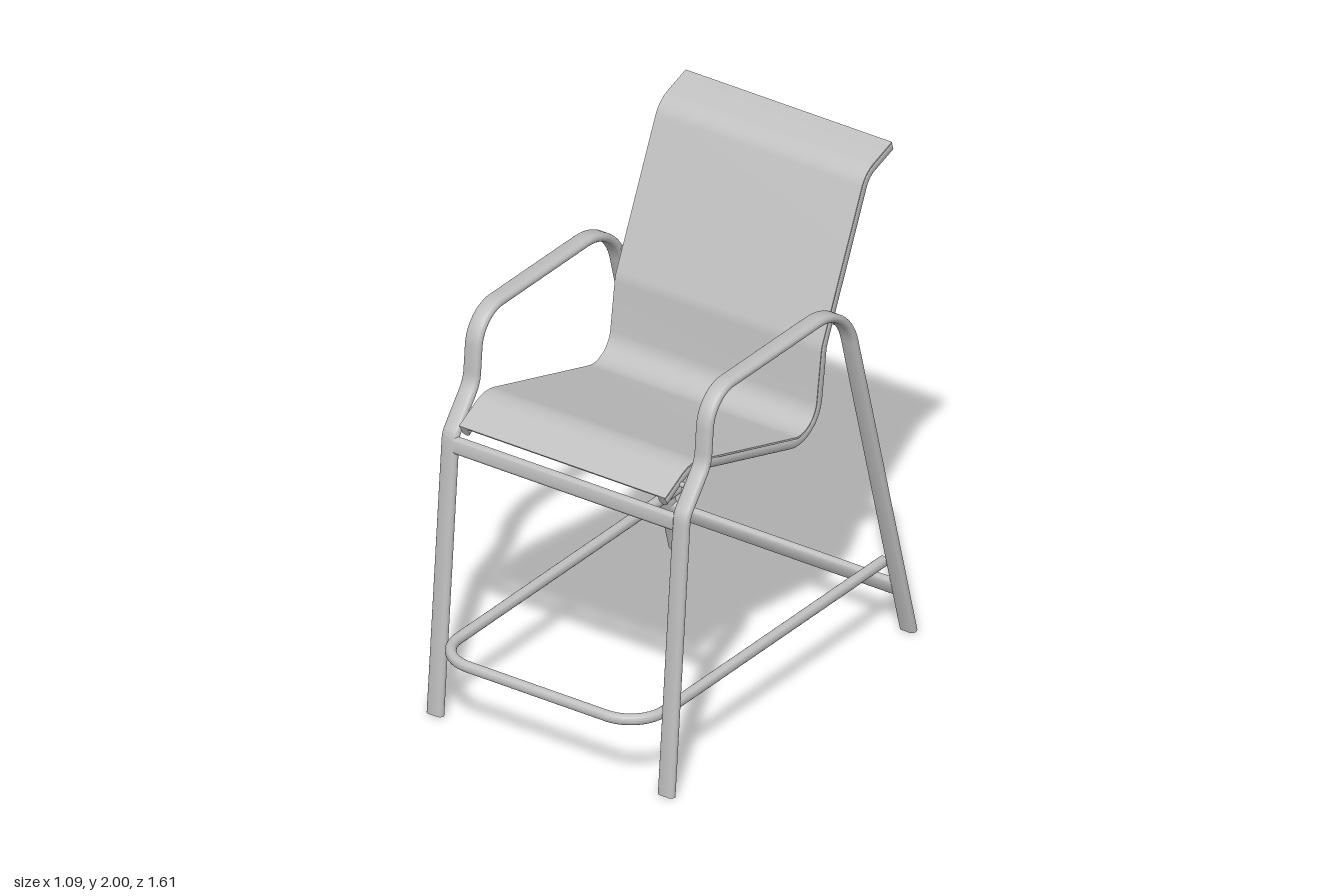
import * as THREE from 'three';
import { toCreasedNormals } from 'three/addons/utils/BufferGeometryUtils.js';

const grey = new THREE.MeshStandardMaterial({ color: 0xc0c0c0 });
grey.name = 'light grey';

// Polyline through [a, b, radius] corners, each rounded by an arc of that radius
function roundedPath(corners) {
  const pts = corners.map(c => new THREE.Vector2(c[0], c[1]));
  const path = new THREE.Path();
  path.moveTo(pts[0].x, pts[0].y);
  for (let i = 1; i < pts.length - 1; i++) {
    const r = corners[i][2];
    const d1 = pts[i].clone().sub(pts[i - 1]).normalize();
    const d2 = pts[i + 1].clone().sub(pts[i]).normalize();
    const turn = Math.acos(d1.dot(d2));
    const trim = r * Math.tan(turn / 2), handle = r * 4 / 3 * Math.tan(turn / 4);
    const a = pts[i].clone().addScaledVector(d1, -trim);
    const b = pts[i].clone().addScaledVector(d2, trim);
    const ha = a.clone().addScaledVector(d1, handle);
    const hb = b.clone().addScaledVector(d2, -handle);
    path.lineTo(a.x, a.y);
    path.bezierCurveTo(ha.x, ha.y, hb.x, hb.y, b.x, b.y);
  }
  const end = pts[pts.length - 1];
  path.lineTo(end.x, end.y);
  return path.getPoints(14);
}

// Flat-sided oval section, w across and h deep (a circle when equal)
function oval(w, h) {
  const r = Math.min(w, h) / 2, sx = w / 2 - r, sy = h / 2 - r, n = 20, out = [];
  for (let i = 0; i < n; i++) {
    const a = (i + 0.5) / n * Math.PI * 2, c = Math.cos(a), s = Math.sin(a);
    out.push([c * r + Math.sign(c) * sx, s * r + Math.sign(s) * sy]);
  }
  return out;
}

// Sweep a convex section along a path in the z-y plane, with capped ends
function sweep(path, section) {
  const pos = [], idx = [], n = section.length, m = path.length;
  path.forEach((p, i) => {
    const t = path[Math.min(i + 1, m - 1)].clone().sub(path[Math.max(i - 1, 0)]).normalize();
    for (const [u, v] of section) pos.push(u, p.y - t.x * v, p.x + t.y * v);
  });
  for (let i = 0; i < m - 1; i++) {
    for (let j = 0; j < n; j++) {
      const a = i * n + j, b = i * n + (j + 1) % n;
      idx.push(a, a + n, b + n, a, b + n, b);
    }
  }
  const last = (m - 1) * n;
  for (let j = 1; j < n - 1; j++) idx.push(0, j, j + 1, last, last + j + 1, last + j);
  const g = new THREE.BufferGeometry();
  g.setAttribute('position', new THREE.Float32BufferAttribute(pos, 3));
  g.setIndex(idx);
  return toCreasedNormals(g, 0.6);
}

export function createModel() {
  const model = new THREE.Group();
  const add = (name, geometry, x = 0, y = 0, z = 0) => {
    const mesh = new THREE.Mesh(geometry, grey);
    mesh.name = name;
    mesh.position.set(x, y, z);
    model.add(mesh);
    return mesh;
  };
  // Straight bar lying along x
  const bar = (name, length, section, x, y, z, tilt = 0) => {
    const line = [new THREE.Vector2(length / 2, 0), new THREE.Vector2(-length / 2, 0)];
    add(name, sweep(line, section).rotateY(Math.PI / 2), x, y, z).rotation.x = tilt;
  };

  // Front leg, armrest and rear leg are one bent oval tube
  const sidePath = roundedPath([
    [0.697, 0.003], [0.603, 1.11, 0.08], [0.474, 1.27, 0.13],
    [0.45, 1.537, 0.14], [-0.383, 1.537, 0.235], [-0.793, 0.006],
  ]);
  // Seat and back follow one bent line
  const seatPath = roundedPath([
    [0.618, 1.153], [0.47, 1.228, 0.13], [-0.307, 0.99, 0.13],
    [-0.357, 1.345, 0.12], [-0.622, 1.93, 0.1], [-0.775, 1.979],
  ]);
  const sideGeometry = sweep(sidePath, oval(0.07, 0.034));
  const railGeometry = sweep(seatPath, oval(0.036, 0.046));

  for (const s of [1, -1]) {
    const side = s > 0 ? 'left' : 'right';
    add(side + 'LegAndArm', sideGeometry, s * 0.51);
    add(side + 'SeatRail', railGeometry, s * 0.436);
    bar(side + 'BackBolt', 0.05, oval(0.02, 0.02), s * 0.462, 1.427, -0.408);
    bar(side + 'SeatBolt', 0.05, oval(0.02, 0.02), s * 0.462, 1.187, 0.53);
  }

  // Fabric sling over the top of the rails
  add('sling', sweep(seatPath, [[-0.455, 0.018], [0.455, 0.018], [0.455, 0.025], [-0.455, 0.025]]));

  // Cross members
  bar('frontCrossbar', 0.97, oval(0.034, 0.068), 0, 1.077, 0.607, -0.09);
  bar('rearCrossbar', 0.97, oval(0.034, 0.07), 0, 0.196, -0.742, 0.262);
  bar('seatSpreader', 0.86, oval(0.022, 0.022), 0, 1.04, -0.25);
  bar('topSpreader', 0.86, oval(0.022, 0.022), 0, 1.962, -0.745);

  // U-shaped footrest
  const footPath = roundedPath([
    [-0.715, -0.455], [0.782, -0.455, 0.15], [0.782, 0.455, 0.15], [-0.715, 0.455],
  ]);
  add('footrest', sweep(footPath, oval(0.042, 0.042)).rotateZ(Math.PI / 2), 0, 0.302, 0);

  return model;
}
